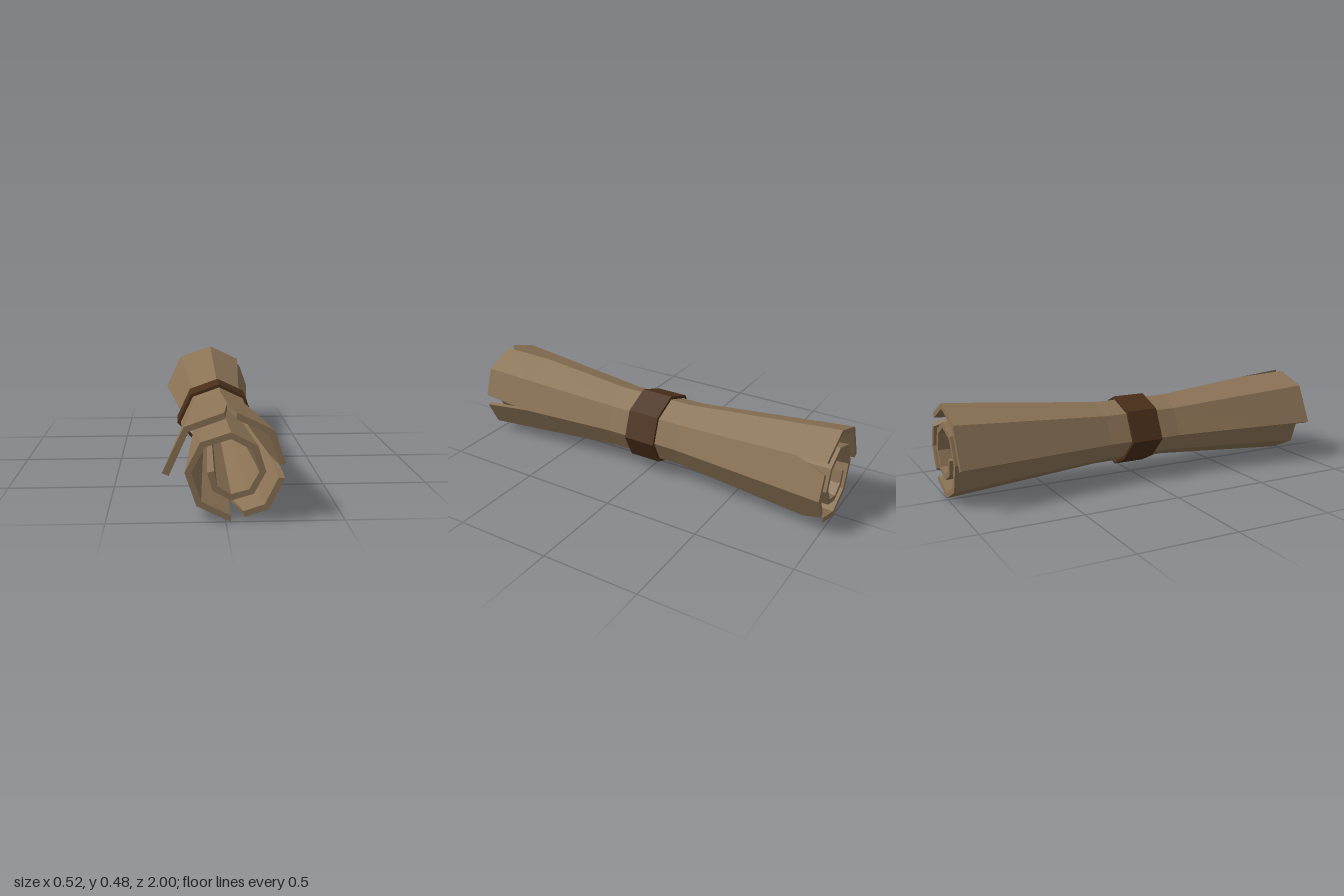
import * as THREE from 'three';

const CX = 0.021, CY = 0.2145;   // axis of the roll
const SEGMENTS = 16;             // two turns of eight flat panels
const WAIST = 0.7;               // scale where the strap squeezes the roll
const THICK = 0.028;

const radius = (j) => 0.284 - 0.0116 * j;
const angle = (j) => Math.PI - (j * Math.PI) / 4;
const flare = (z) => WAIST + (1 - WAIST) * Math.max(0, (Math.abs(z) - 0.2) / 0.8);

// Tears: panel, edge (0 = start, 1 = end), end of the roll, apex z, width as a share of the panel
const TEARS = [
  [1, 1, 1, 0.73, 0.15], [2, 0, 1, 0.73, 0.13],
  [3, 1, 1, 0.73, 0.18], [4, 0, 1, 0.73, 0.18],
  [5, 1, 1, 0.75, 0.37],
  [3, 0, -1, 0.85, 0.31], [4, 1, -1, 0.9, 0.27],
];

// How far a panel edge is torn back at a given z
function tearAt(panel, edge, z) {
  let t = 0;
  for (const [p, e, end, apex, width] of TEARS) {
    if (p === panel && e === edge) t = Math.max(t, (width * (z * end - apex)) / (1 - apex));
  }
  return t;
}

// Corner of the spiral at the end of the roll, on its outer or inner skin
function corner(j, inner) {
  const tilt = !inner ? 0 : j === 0 ? 0.047 : j === SEGMENTS ? -0.07 : 0;
  const r = radius(j) - (inner ? THICK : 0);
  return new THREE.Vector2(Math.cos(angle(j) + tilt), Math.sin(angle(j) + tilt)).multiplyScalar(r);
}

function makeParchment() {
  const pos = [];
  const quad = (a, b, c, d) => [a, b, c, a, c, d].forEach((p) => pos.push(p.x, p.y, p.z));
  const rows = [-1, -0.9, -0.85, -0.2, 0.2, 0.73, 0.75, 1];

  for (let j = 0; j < SEGMENTS; j++) {
    // Cross-section of one panel: outer start, outer end, inner end, inner start
    const section = (z) => {
      const t0 = tearAt(j, 0, z), t1 = 1 - tearAt(j, 1, z);
      const at = (inner, t) => {
        const p = corner(j, inner).lerp(corner(j + 1, inner), t).multiplyScalar(flare(z));
        return new THREE.Vector3(CX + p.x, CY + p.y, z);
      };
      return [at(false, t0), at(false, t1), at(true, t1), at(true, t0)];
    };
    for (let k = 0; k < rows.length - 1; k++) {
      const z0 = rows[k], z1 = rows[k + 1];
      const [a0, b0, B0, A0] = section(z0);
      const [a1, b1, B1, A1] = section(z1);
      const torn = (edge) => Math.max(tearAt(j, edge, z0), tearAt(j, edge, z1)) > 0;
      quad(a1, b1, b0, a0);                                           // outer skin
      quad(A0, B0, B1, A1);                                           // inner skin
      if (j === 0 || torn(0)) quad(A0, A1, a1, a0);                   // open edges
      if (j === SEGMENTS - 1 || torn(1)) quad(b0, b1, B1, B0);
      if (k === 0) quad(a0, b0, B0, A0);                              // back rim
      if (k === rows.length - 2) quad(a1, A1, B1, b1);                // front rim
    }
  }
  const geo = new THREE.BufferGeometry();
  geo.setAttribute('position', new THREE.Float32BufferAttribute(pos, 3));
  geo.computeVertexNormals();
  return geo;
}

// Closed eight-sided band following the outer turn at the waist
function makeStrap() {
  const ring = (gap) => Array.from({ length: 8 }, (_, j) => {
    const r = radius(j) * WAIST + gap;
    return new THREE.Vector2(CX + r * Math.cos(angle(j)), CY + r * Math.sin(angle(j)));
  });
  const shape = new THREE.Shape(ring(0.019));
  shape.holes.push(new THREE.Path(ring(0.003)));
  return new THREE.ExtrudeGeometry(shape, { depth: 0.17, bevelEnabled: false }).translate(0, 0, -0.085);
}

export function createModel() {
  const group = new THREE.Group();
  group.name = 'rolledScroll';
  const add = (name, geometry, color) => {
    const mesh = new THREE.Mesh(geometry, new THREE.MeshStandardMaterial({ color, flatShading: true }));
    mesh.name = name;
    group.add(mesh);
  };
  add('parchment', makeParchment(), 0x8b7355);
  add('strap', makeStrap(), 0x4a2f1a);
  return group;
}
